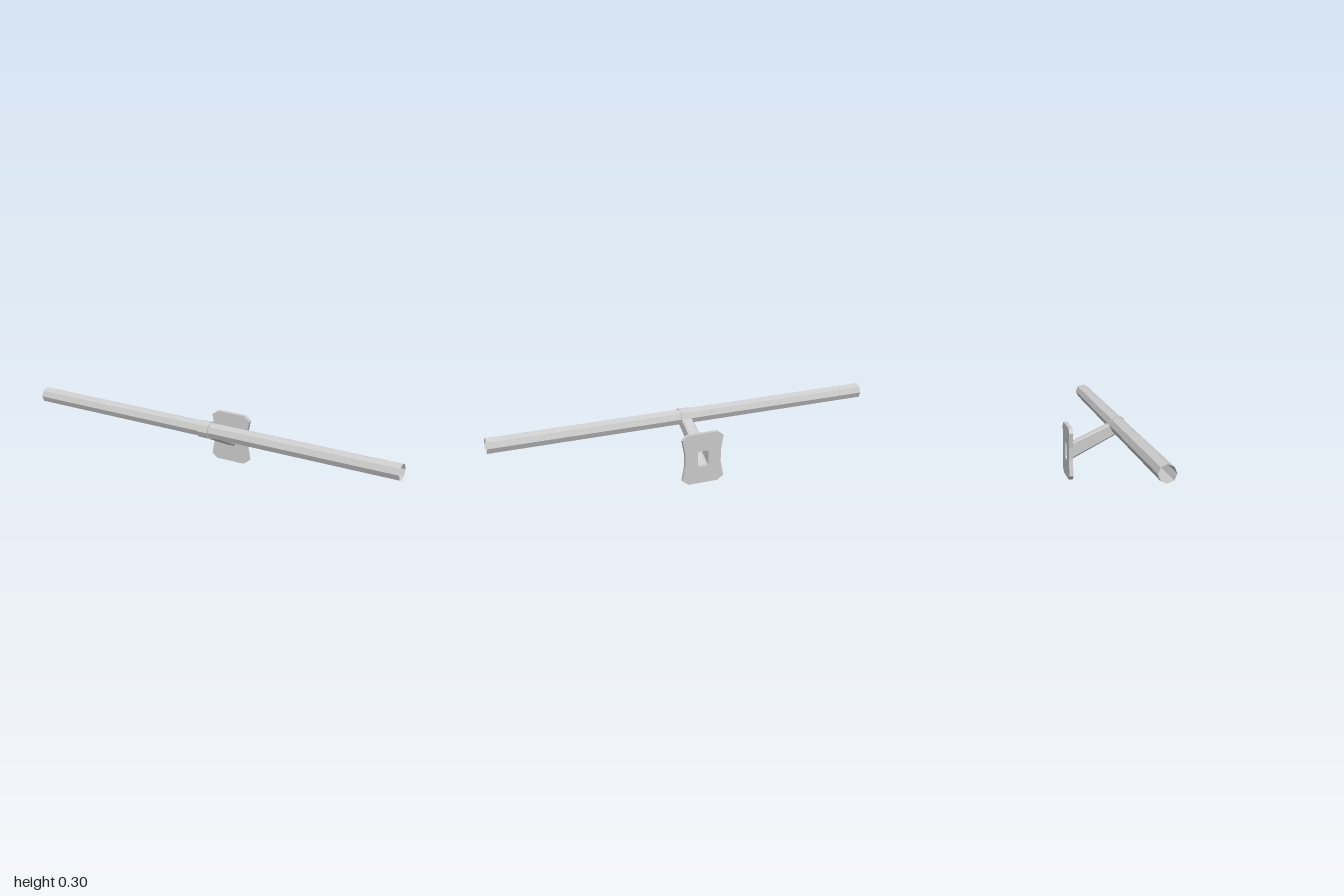
import * as THREE from 'three';

const AXIS_Y = 0.255, AXIS_Z = 0.105; // centre line of the rail
const REAR = -0.15, PLATE = 0.02;     // back of the wall plate and its thickness

// Half of the arm outline, bottom to top: x, y at the plate, y and z at the collar
const ARM = [
  [0.02, 0.087, 0.21, 0.105],
  [0.028, 0.095, 0.213, 0.097],
  [0.028, 0.13, 0.223, 0.073],
  [0.028, 0.163, 0.25, 0.062],
  [0.02, 0.168, 0.257, 0.06],
];
const mirrored = (half) => [...half, ...half.map(([x, ...rest]) => [-x, ...rest]).reverse()];

const toShape = (points, Type) => new Type(points.map(([x, y]) => new THREE.Vector2(x, y)));

// Octagonal sleeve turned about the x axis
function turned(profile) {
  const geo = new THREE.LatheGeometry(profile.map(([r, h]) => new THREE.Vector2(r, h)), 8);
  return geo.rotateZ(-Math.PI / 2).translate(0, AXIS_Y, AXIS_Z);
}

// Wall plate with pinched sides, clipped corners and a hole for the arm
function plateGeometry() {
  const shape = toShape(mirrored([
    [0.078, 0], [0.107, 0.023], [0.093, 0.1], [0.093, 0.16], [0.107, 0.237], [0.078, 0.26],
  ]), THREE.Shape);
  shape.holes.push(toShape(mirrored(ARM), THREE.Path));
  return new THREE.ExtrudeGeometry(shape, { depth: PLATE, bevelEnabled: false }).translate(0, 0, REAR);
}

// Hollow arm lofted from the plate to the faceted collar
function armGeometry() {
  const ring = mirrored(ARM);
  const n = ring.length, positions = [], index = [];
  for (const [x, , y, z] of ring) positions.push(x, y, z);
  for (const [x, y] of ring) positions.push(x, y, REAR + PLATE);
  for (let i = 0; i < n; i++) {
    const j = (i + 1) % n;
    index.push(i, n + i, n + j, i, n + j, j);
  }
  const geo = new THREE.BufferGeometry();
  geo.setAttribute('position', new THREE.Float32BufferAttribute(positions, 3));
  geo.setIndex(index);
  const flat = geo.toNonIndexed();
  flat.computeVertexNormals();
  return flat;
}

export function createModel() {
  const group = new THREE.Group();
  group.name = 'wallRail';
  const material = new THREE.MeshStandardMaterial({
    color: 0xcccccc, flatShading: true, side: THREE.DoubleSide,
  });
  const add = (name, geometry) => {
    const mesh = new THREE.Mesh(geometry, material);
    mesh.name = name;
    group.add(mesh);
  };

  add('rail', turned([[0.04, -1], [0.04, 1]]));
  add('collar', turned([[0.04, -0.028], [0.045, -0.028], [0.045, 0.028], [0.04, 0.028]]));
  add('arm', armGeometry());
  add('wallPlate', plateGeometry());
  return group;
}
